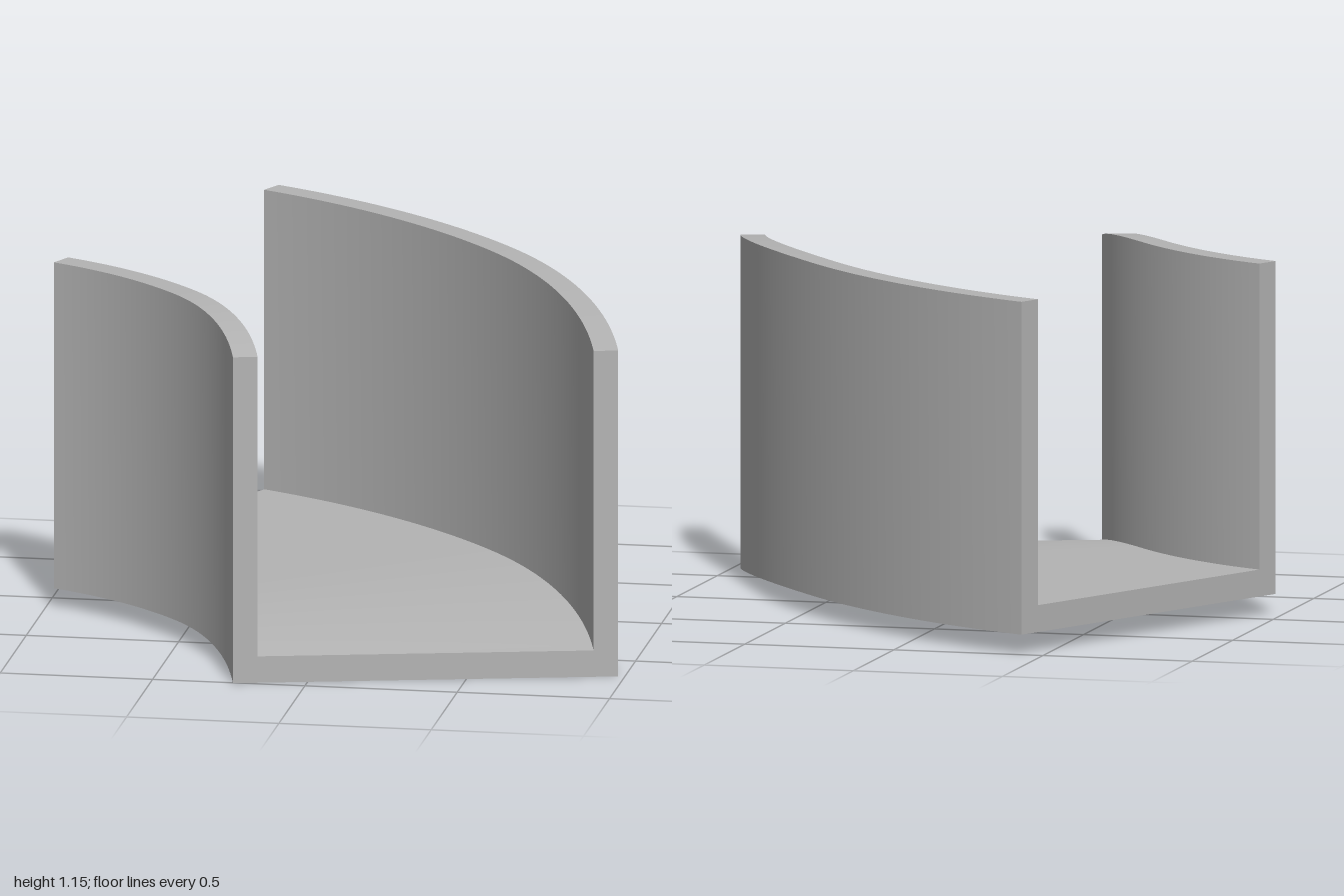
import * as THREE from 'three';
import { toCreasedNormals } from 'three/addons/utils/BufferGeometryUtils.js';

const CENTER = { x: -1.558, z: 1.33 }; // centre of the bend
const FRONT_ANGLE = THREE.MathUtils.degToRad(13.8);
const BACK_ANGLE = THREE.MathUtils.degToRad(64.1);
const INNER = 1.35, OUTER = 2.6;       // radii of the bend
const WALL = 0.08, FLOOR = 0.088, HEIGHT = 1.088;
const RISE = 0.065;
const STEPS = 48;

// U-shaped section as (radius, height), counter-clockwise
const SECTION = [
  [INNER, 0], [OUTER, 0], [OUTER, HEIGHT], [OUTER - WALL, HEIGHT],
  [OUTER - WALL, FLOOR], [INNER + WALL, FLOOR], [INNER + WALL, HEIGHT], [INNER, HEIGHT],
].map(([r, y]) => new THREE.Vector2(r, y));

// Section placed at t along the bend; it climbs in the first half, then runs level
function ring(t) {
  const angle = THREE.MathUtils.lerp(FRONT_ANGLE, BACK_ANGLE, t);
  const u = Math.min(t / 0.5, 1);
  const lift = RISE * (1 - (1 - u) ** 2);
  const drift = 0.012 - 0.024 * t; // the bend tightens slightly toward the back
  return SECTION.map((p) => new THREE.Vector3(
    CENTER.x + (p.x + drift) * Math.cos(angle),
    p.y + lift,
    CENTER.z - (p.x + drift) * Math.sin(angle),
  ));
}

function sweepChannel() {
  const rings = Array.from({ length: STEPS + 1 }, (_, i) => ring(i / STEPS));
  const pos = [];
  const tri = (...pts) => pts.forEach((p) => pos.push(p.x, p.y, p.z));
  // Long faces
  for (let s = 0; s < STEPS; s++) {
    const a = rings[s], b = rings[s + 1];
    a.forEach((_, i) => {
      const j = (i + 1) % a.length;
      tri(a[i], b[i], a[j]);
      tri(a[j], b[i], b[j]);
    });
  }
  // End faces
  const front = rings[0], back = rings[STEPS];
  for (const [i, j, k] of THREE.ShapeUtils.triangulateShape(SECTION, [])) {
    tri(front[i], front[j], front[k]);
    tri(back[i], back[k], back[j]);
  }
  const geometry = new THREE.BufferGeometry();
  geometry.setAttribute('position', new THREE.Float32BufferAttribute(pos, 3));
  return toCreasedNormals(geometry, Math.PI / 6);
}

export function createModel() {
  const group = new THREE.Group();
  group.name = 'curvedTrack';
  const grey = new THREE.MeshStandardMaterial({ color: 0xb4b4b4 });
  grey.name = 'lightGrey';
  const channel = new THREE.Mesh(sweepChannel(), grey);
  channel.name = 'curvedChannel';
  group.add(channel);
  return group;
}
